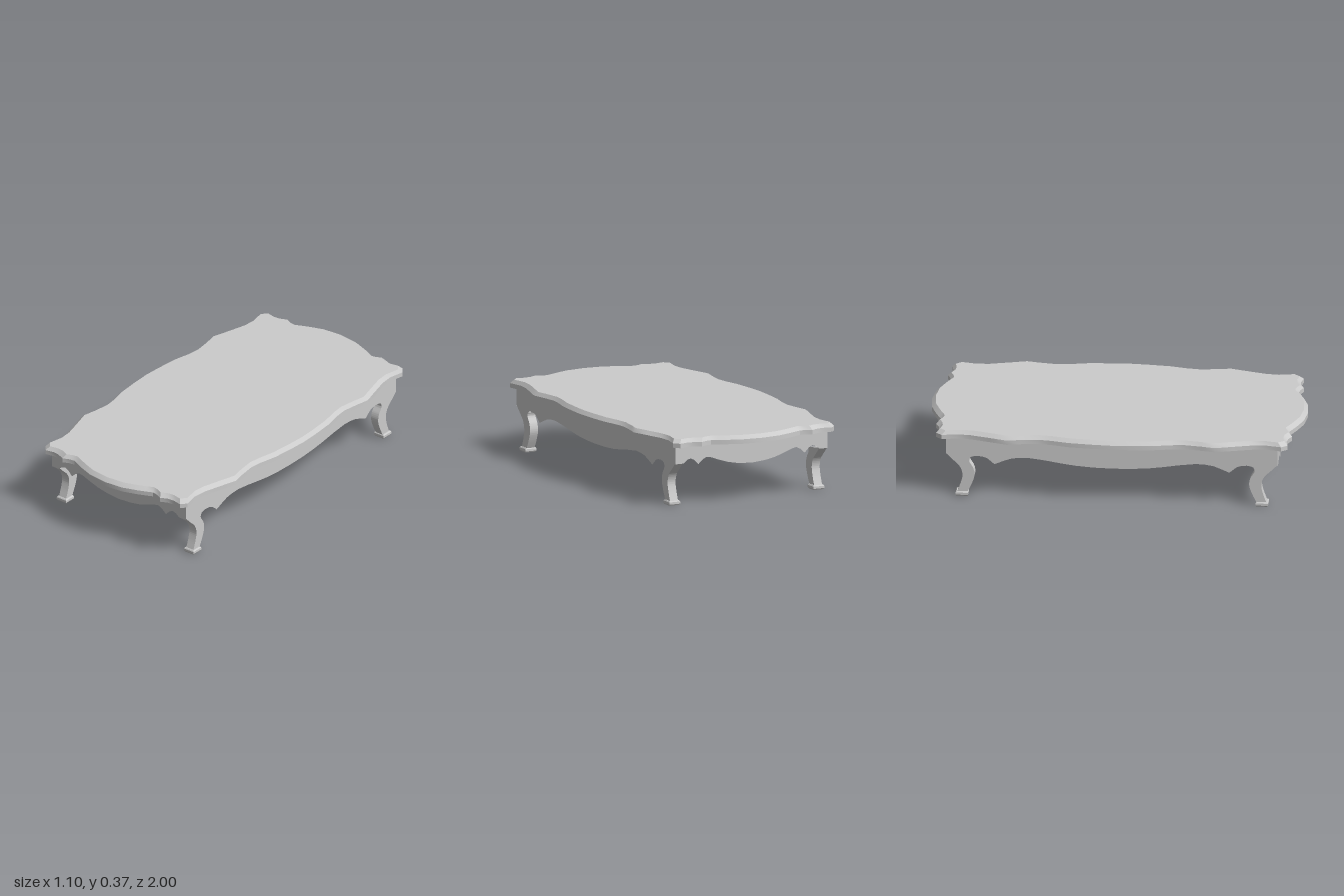
import * as THREE from 'three';
import { toCreasedNormals } from 'three/addons/utils/BufferGeometryUtils.js';

const material = new THREE.MeshStandardMaterial({ color: 0xcccccc });
const sheetMaterial = new THREE.MeshStandardMaterial({ color: 0xcccccc, side: THREE.DoubleSide });
const vectors = (pts) => pts.map(([x, y]) => new THREE.Vector2(x, y));
const RIM = 0.33, UNDER = 0.354, TOP = 0.374, HALF_X = 0.458, HALF_Z = 0.881, LEG = 0.048;

// One quarter of the tabletop edge (x, z), from the end's middle to the side's middle
const edge = [
  [0, 1], [0.11, 0.988], [0.19, 0.96], [0.23, 0.943], [0.268, 0.926], [0.3, 0.931], [0.333, 0.946],
  [0.373, 0.928], [0.41, 0.924], [0.458, 0.934], [0.485, 0.902], [0.468, 0.82],
  [0.474, 0.75], [0.503, 0.645], [0.53, 0.553], [0.516, 0.484], [0.503, 0.39],
  [0.511, 0.32], [0.532, 0.225], [0.543, 0.103], [0.548, 0],
];
const halfEdge = [...edge, ...edge.slice(0, -1).reverse().map(([x, z]) => [x, -z])];
const outline = [...halfEdge, ...halfEdge.slice(1, -1).reverse().map(([x, z]) => [-x, z])];

// Half of each apron's lower edge (distance from middle, y), from the corner inward
const endScallop = [
  [HALF_X, 0.233], [0.41, 0.233], [0.389, 0.25], [0.367, 0.257], [0.346, 0.247], [0.32, 0.221],
  [0.295, 0.244], [0.27, 0.256], [0.243, 0.251], [0.198, 0.234], [0.142, 0.216], [0.084, 0.205], [0, 0.198],
];
const sideScallop = [
  [HALF_Z, 0.24], [0.753, 0.219], [0.741, 0.226], [0.716, 0.23], [0.686, 0.227], [0.662, 0.218],
  [0.624, 0.186], [0.577, 0.206], [0.54, 0.22], [0.497, 0.227], [0.447, 0.229], [0.356, 0.218],
  [0.27, 0.204], [0.195, 0.194], [0.1, 0.187], [0, 0.185],
];

// Cabriole leg side profile (z, y)
const legOuter = [[HALF_Z, 0.24], [0.849, 0.208], [0.809, 0.167], [0.794, 0.123], [0.802, 0.076], [0.822, 0.02]];
const legInner = [[0.769, 0.02], [0.743, 0.075], [0.73, 0.119], [0.736, 0.158], [0.758, 0.197], [0.753, 0.219]];

// Upright extrusion of a plan shape between two heights
function slab(shape, bottom, top) {
  const geo = new THREE.ExtrudeGeometry(shape, { depth: top - bottom, bevelEnabled: false });
  return geo.rotateX(-Math.PI / 2).translate(0, bottom, 0);
}

function tabletop() {
  const geo = slab(new THREE.Shape(vectors(outline)), UNDER, TOP);
  // Draw in the upper rim to make the chamfer
  const p = geo.attributes.position;
  for (let i = 0; i < p.count; i++) {
    if (p.getY(i) > TOP - 0.001) p.setXYZ(i, p.getX(i) * 0.966, p.getY(i), p.getZ(i) * 0.979);
  }
  return toCreasedNormals(geo, 0.5);
}

function rim() {
  const shape = new THREE.Shape(vectors(outline));
  shape.holes.push(new THREE.Path(vectors(outline.map(([x, z]) => [x * 0.992, z * 0.996]))));
  return toCreasedNormals(slab(shape, RIM, UNDER), 0.5);
}

function apron(scallop) {
  const w = scallop[0][0];
  const mirrored = scallop.slice(0, -1).reverse().map(([x, y]) => [-x, y]);
  return new THREE.ShapeGeometry(new THREE.Shape(vectors([[w, UNDER], ...scallop, ...mirrored, [-w, UNDER]])));
}

function leg(sz) {
  const flip = (pts) => vectors(pts.map(([z, y]) => [z * sz, y]));
  const shape = new THREE.Shape();
  const outer = flip(legOuter), inner = flip(legInner);
  shape.moveTo(outer[0].x, outer[0].y);
  shape.splineThru(outer.slice(1));
  shape.lineTo(inner[0].x, inner[0].y);
  shape.splineThru(inner.slice(1));
  shape.closePath();
  const geo = new THREE.ExtrudeGeometry(shape, { depth: LEG, bevelEnabled: false, curveSegments: 16 });
  geo.rotateY(-Math.PI / 2); // profile into the z-y plane
  geo.translate(LEG / 2, 0, 0);
  return toCreasedNormals(geo, 0.6);
}

function foot() {
  const r = 0.033 * Math.SQRT2;
  const profile = [[0, 0], [r * 0.86, 0], [r, 0.007], [r, 0.019], [r * 0.86, 0.025], [0, 0.025]];
  const geo = new THREE.LatheGeometry(vectors(profile), 4).rotateY(Math.PI / 4).toNonIndexed();
  geo.computeVertexNormals();
  return geo;
}

export function createModel() {
  const model = new THREE.Group();
  model.name = 'coffeeTable';
  const add = (name, geo, mat = material) => {
    const mesh = new THREE.Mesh(geo, mat);
    mesh.name = name;
    model.add(mesh);
    return mesh;
  };

  add('tabletop', tabletop());
  add('tabletopRim', rim());

  // Thin scalloped aprons on all four sides
  const endGeo = apron(endScallop), sideGeo = apron(sideScallop);
  for (const s of [1, -1]) {
    const end = add(s > 0 ? 'frontApron' : 'backApron', endGeo, sheetMaterial);
    end.position.z = s * HALF_Z;
    if (s < 0) end.rotation.y = Math.PI;
    const side = add(s > 0 ? 'leftApron' : 'rightApron', sideGeo, sheetMaterial);
    side.position.x = s * HALF_X;
    side.rotation.y = s * Math.PI / 2;
  }

  // Curved legs with chamfered square feet
  const footGeo = foot();
  for (const sz of [1, -1]) {
    const legGeo = leg(sz);
    for (const sx of [1, -1]) {
      const corner = (sz > 0 ? 'front' : 'back') + (sx > 0 ? 'Left' : 'Right');
      add(corner + 'Leg', legGeo).position.x = sx * (HALF_X - LEG / 2);
      add(corner + 'Foot', footGeo).position.set(sx * (HALF_X - LEG / 2), 0, sz * 0.797);
    }
  }
  return model;
}
